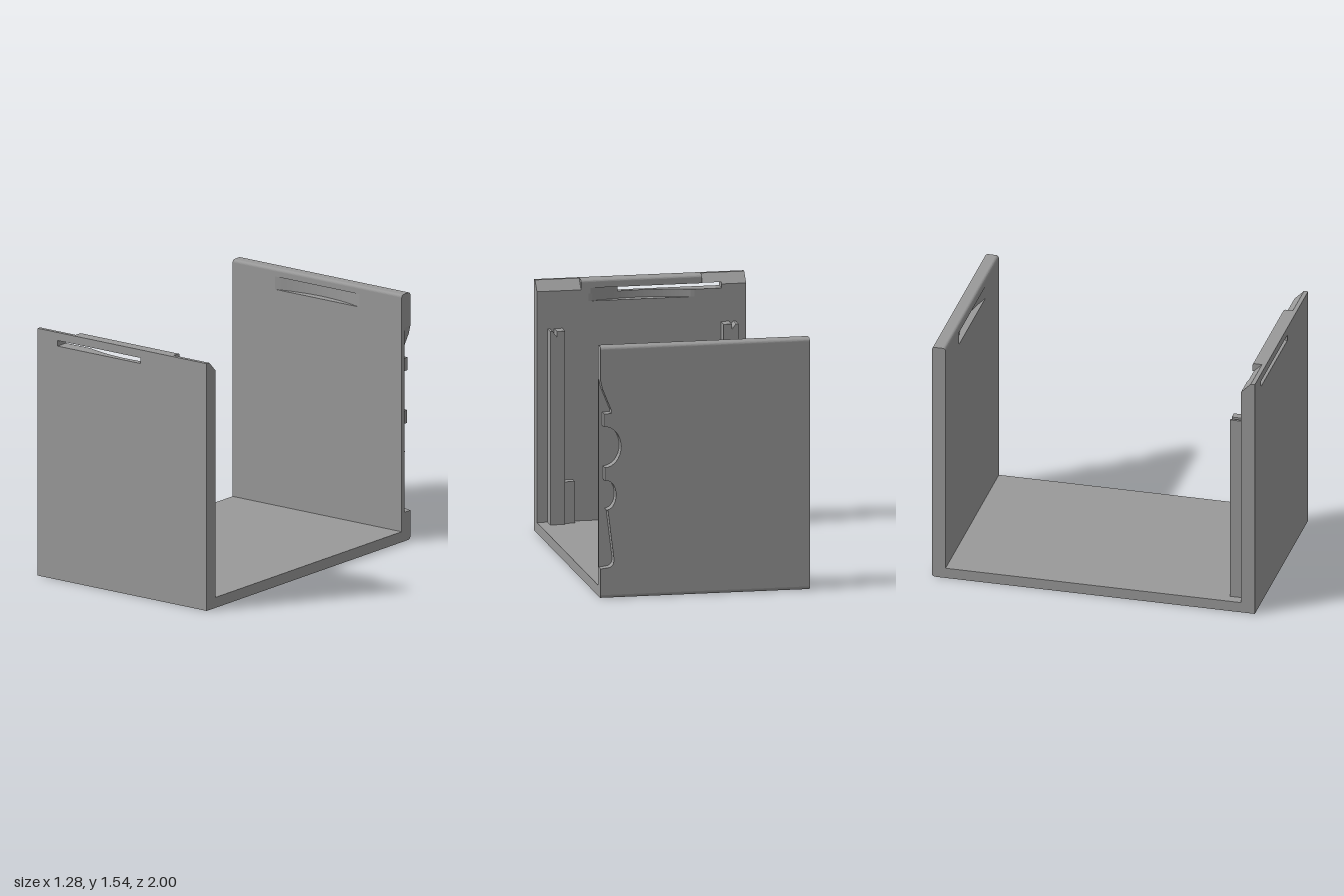
import * as THREE from 'three';

export function createModel() {
  const group = new THREE.Group();
  const grey = new THREE.MeshStandardMaterial({ color: 0x999999 });
  grey.name = 'grey plastic';

  const W = 0.64, H = 1.54, FLOOR = 0.065, INNER = 0.915;
  const RECESS_Y = 1.41, RECESS_TOP = 1.49, TAB = 0.37;

  function add(name, geometry) {
    const mesh = new THREE.Mesh(geometry, grey);
    mesh.name = name;
    group.add(mesh);
    return mesh;
  }
  const toShape = (pts) => new THREE.Shape(pts.map(([a, b]) => new THREE.Vector2(a, b)));
  const extrude = (pts, depth) =>
    new THREE.ExtrudeGeometry(toShape(pts), { depth, bevelEnabled: false });

  // Side profile given as [z, y], extruded from x0 to x1
  function sideProfile(name, pts, x0, x1) {
    const g = extrude(pts.map(([z, y]) => [-z, y]), x1 - x0);
    add(name, g.rotateY(Math.PI / 2).translate(x0, 0, 0));
  }
  // Plan given as [x, z], extruded from y0 to y1
  function plan(name, pts, y0, y1) {
    const g = extrude(pts.map(([x, z]) => [x, -z]), y1 - y0);
    add(name, g.rotateX(-Math.PI / 2).translate(0, y0, 0));
  }
  function box(name, x0, x1, y0, y1, z0, z1) {
    add(name, new THREE.BoxGeometry(x1 - x0, y1 - y0, z1 - z0)
      .translate((x0 + x1) / 2, (y0 + y1) / 2, (z0 + z1) / 2));
  }
  // Points on an arc in the plane of the profile, angles in quarter turns
  function arc(cx, cy, rx, ry, q0, q1, n = 6) {
    return Array.from({ length: n + 1 }, (_, i) => {
      const a = (q0 + (q1 - q0) * i / n) * Math.PI / 2;
      return [cx + rx * Math.cos(a), cy + ry * Math.sin(a)];
    });
  }

  // U-shaped body: floor and both walls up to the finger recesses
  const notchX = 0.5, skin = -0.94;
  const uProfile = (outerBack) => [
    [1, 0], [1, RECESS_Y], [INNER, RECESS_Y], [INNER, FLOOR],
    [-INNER, FLOOR], [-INNER, RECESS_Y], [-1, RECESS_Y], ...outerBack,
    ...arc(-0.98, 0.02, 0.02, 0.02, 2, 3),
  ];
  sideProfile('body', uProfile([]), -W, notchX);
  sideProfile('notchedBodyEdge',
    uProfile([[-1, 1.33], [skin, 1.33], [skin, 0.18], [-1, 0.18]]), notchX, W);

  // Scalloped edge on the outside of the back wall
  const edge = [
    [notchX, 1.33], [W, 1.33], [W - 0.012, 1.28], [W - 0.065, 1.15], [W - 0.065, 1.13],
    [W - 0.02, 1.13], [W - 0.02, 1.05],
    ...arc(W - 0.025, 0.925, 0.1, 0.125, 1, 3, 16),
    [W - 0.025, 0.72],
    ...arc(W - 0.035, 0.63, 0.06, 0.09, 1, 3, 14),
    [W - 0.045, 0.535], [W - 0.08, 0.25],
    ...arc(W - 0.04, 0.22, 0.04, 0.035, 2, 3, 5),
    [W, 0.18], [notchX, 0.18],
  ];
  add('scallopedEdge', extrude(edge, 0.06).translate(0, 0, -1));

  // Wall layer whose inner face is hollowed by a shallow arc
  function recessLayer(name, side, x0, x1, y0, y1) {
    const pts = [[x1, side], [x0, side]];
    for (let i = 0; i <= 32; i++) {
      const x = x0 + (x1 - x0) * i / 32;
      const depth = 0.05 * Math.max(0, 1 - (x / 0.31) ** 2);
      pts.push([x, side * (INNER + depth)]);
    }
    plan(name, pts, y0, y1);
  }

  // Back wall top with rounded rim
  recessLayer('backFingerRecess', -1, -W, W, RECESS_Y, RECESS_TOP);
  sideProfile('backRim', [
    [-INNER, RECESS_TOP], ...arc(-INNER - 0.018, H - 0.018, 0.018, 0.018, 0, 1),
    ...arc(-0.982, H - 0.018, 0.018, 0.018, 1, 2), [-1, RECESS_TOP],
  ], -W, W);

  // Front wall top: middle tab with recess and through slot
  const slotY = 1.455, slotX0 = -0.49, slotX1 = 0.14;
  recessLayer('frontFingerRecess', 1, -TAB, TAB, RECESS_Y, slotY);
  recessLayer('frontSlotEnd', 1, slotX1, TAB, slotY, RECESS_TOP);
  sideProfile('frontTab', [
    [1, RECESS_TOP], [1, H], ...arc(INNER + 0.015, H - 0.015, 0.015, 0.015, 1, 2),
    [INNER, RECESS_TOP],
  ], -TAB, TAB);

  // Chamfered ends of the front wall, the right one opened by the slot
  const chamfered = [[1, RECESS_Y], [1, H], [0.975, H], [INNER, 1.48], [INNER, RECESS_Y]];
  sideProfile('frontChamferLeft', chamfered, TAB, W);
  sideProfile('frontChamferRight', chamfered, -W, slotX0);
  box('slotSill', slotX0, -TAB, RECESS_Y, slotY, INNER, 1);
  sideProfile('slotLintel',
    [[1, RECESS_TOP], [1, H], [0.975, H], [0.925, RECESS_TOP]], slotX0, -TAB);

  // Guide rails and their short foot blocks inside the front wall
  for (const s of [-1, 1]) {
    const rail = [
      [0.485, FLOOR], [0.575, FLOOR], [0.575, 1.25], [0.56, 1.25],
      [0.535, 1.215], [0.535, 1.25], [0.485, 1.25],
    ].map(([x, y]) => [s * x, y]);
    add('guideRail', extrude(rail, INNER - 0.83).translate(0, 0, 0.83));
    const xs = [s * 0.42, s * 0.485].sort((a, b) => a - b);
    box('railFoot', xs[0], xs[1], FLOOR, 0.32, 0.857, INNER);
  }

  return group;
}
